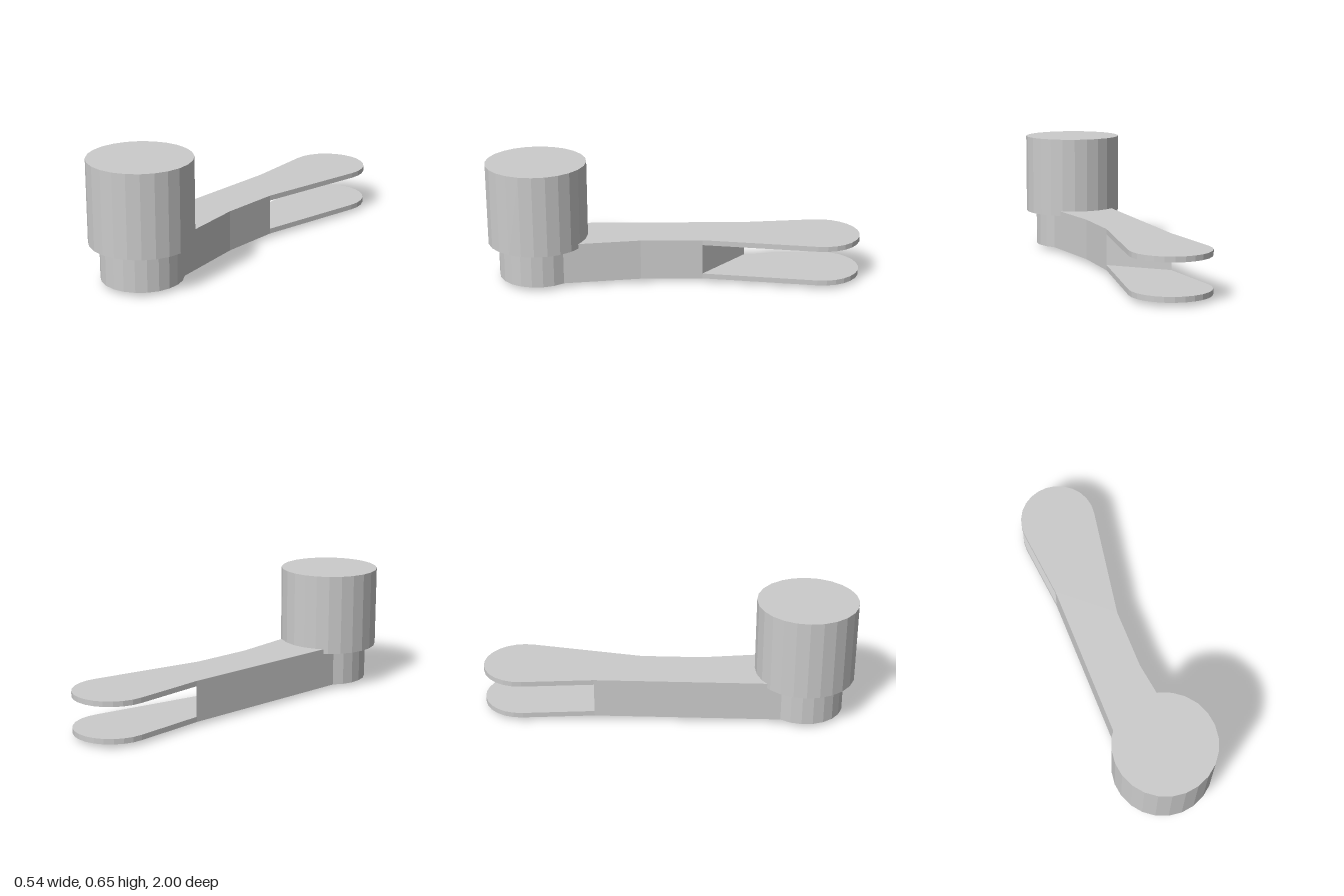
import * as THREE from 'three';

const material = new THREE.MeshStandardMaterial({ color: 0xcccccc, flatShading: true });
const HUB_Z = 0.732;

// Points [x, z] along an arc in plan
function arc(cz, r, from, to, steps) {
  return Array.from({ length: steps + 1 }, (_, i) => {
    const a = from + (to - from) * i / steps;
    return [r * Math.cos(a), cz + r * Math.sin(a)];
  });
}

// Plan outline [x, z] extruded between two heights
function slab(name, points, bottom, top) {
  const shape = new THREE.Shape(points.map(([x, z]) => new THREE.Vector2(x, z)));
  const geometry = new THREE.ExtrudeGeometry(shape, { depth: top - bottom, bevelEnabled: false });
  geometry.rotateX(Math.PI / 2).translate(0, top, 0);
  const mesh = new THREE.Mesh(geometry, material);
  mesh.name = name;
  return mesh;
}

function disc(name, radius, bottom, top) {
  const geometry = new THREE.CylinderGeometry(radius, radius, top - bottom, 24);
  const mesh = new THREE.Mesh(geometry, material);
  mesh.position.set(0, (bottom + top) / 2, HUB_Z);
  mesh.name = name;
  return mesh;
}

export function createModel() {
  const group = new THREE.Group();
  group.name = 'leverArm';

  // Slanted line where the solid arm ends and the fork begins
  const slotLeft = [0.1, -0.15];
  const slotRight = [-0.17, -0.39];

  // Solid arm with rounded hub
  group.add(slab('armBody', [
    slotRight, slotLeft, [0.1, 0.18],
    ...arc(HUB_Z, 0.212, -0.74, Math.PI + 0.64, 16),
  ], 0.02, 0.24));

  // Two thin paddle-shaped fork plates
  const paddle = [
    slotLeft, slotRight,
    ...arc(-0.793, 0.207, Math.PI - 0.1, 2 * Math.PI + 0.18, 14),
  ];
  group.add(slab('lowerForkPlate', paddle, 0.02, 0.048));
  group.add(slab('upperForkPlate', paddle, 0.212, 0.24));

  // Knob on top of the hub, small pin beneath
  group.add(disc('knob', 0.268, 0.214, 0.65));
  group.add(disc('pin', 0.082, 0, 0.03));
  return group;
}
